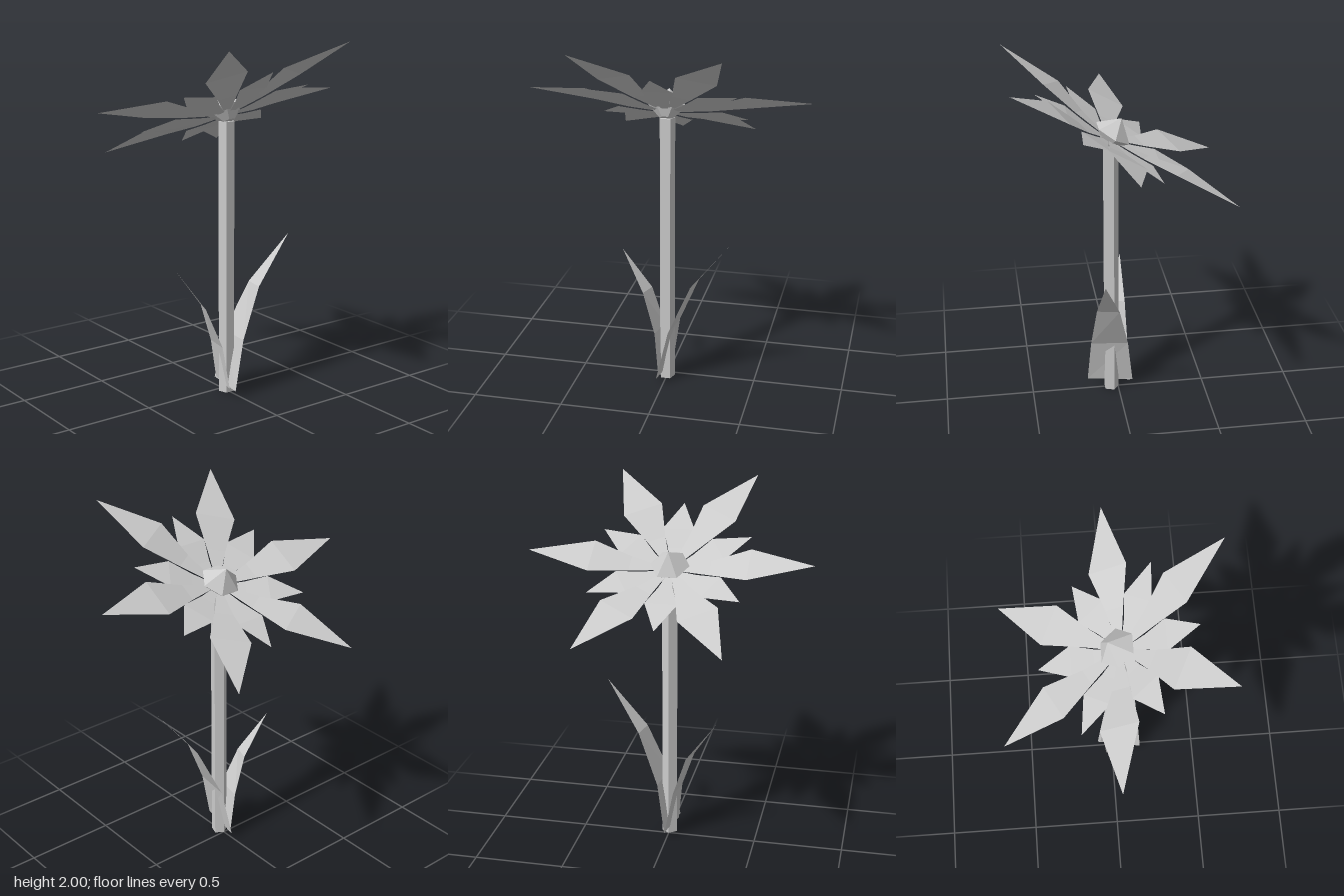
import * as THREE from 'three';

// Open strip through pairs of edge points
function strip(pairs) {
  const pos = [];
  for (let i = 0; i + 1 < pairs.length; i++) {
    const [a0, b0] = pairs[i], [a1, b1] = pairs[i + 1];
    pos.push(...a0, ...b0, ...a1, ...b0, ...b1, ...a1);
  }
  const geo = new THREE.BufferGeometry();
  geo.setAttribute('position', new THREE.Float32BufferAttribute(pos, 3));
  geo.computeVertexNormals();
  return geo;
}

// Petal along +x from [radius, height, half width] sections
const petal = (sections) =>
  strip(sections.map(([r, h, w]) => [[r, h, -w], [r, h, w]]));

export function createModel() {
  const grey = new THREE.MeshStandardMaterial({ color: 0xcccccc, flatShading: true, side: THREE.DoubleSide });
  grey.name = 'plain grey';
  const model = new THREE.Group();
  model.name = 'flower';

  const add = (parent, name, geo) => {
    const mesh = new THREE.Mesh(geo, grey);
    mesh.name = name;
    parent.add(mesh);
    return mesh;
  };

  // Five-sided stem with a corner at the back
  const stem = add(model, 'stem', new THREE.CylinderGeometry(0.045, 0.045, 1.55, 5, 1, false, Math.PI));
  stem.position.set(0, 0.775, 0.041);

  // Two bent leaves: back edge, front edge per section
  add(model, 'leftLeaf', strip([
    [[0.01, 0.04, -0.085], [-0.035, 0.04, 0.175]],
    [[0.057, 0.325, -0.05], [0.03, 0.325, 0.16]],
    [[0.178, 0.61, 0.015], [0.153, 0.61, 0.14]],
    [[0.378, 0.885, 0.12], [0.378, 0.885, 0.12]],
  ]));
  add(model, 'rightLeaf', strip([
    [[-0.035, 0.04, 0.12], [0.01, 0.04, -0.07]],
    [[-0.062, 0.28, 0.09], [-0.035, 0.28, -0.06]],
    [[-0.14, 0.505, 0.04], [-0.108, 0.505, -0.055]],
    [[-0.278, 0.73, -0.05], [-0.278, 0.73, -0.05]],
  ]));

  // Tilted flower head
  const head = new THREE.Group();
  head.name = 'flowerHead';
  head.position.y = 1.66;
  head.rotation.x = -Math.PI / 6;
  model.add(head);

  const large = petal([[0.05, -0.085, 0.015], [0.22, -0.062, 0.052], [0.43, -0.017, 0.1125], [0.78, 0, 0]]);
  const small = petal([[0.05, -0.09, 0.015], [0.15, -0.078, 0.04], [0.28, -0.06, 0.088], [0.476, -0.052, 0]]);
  for (let i = 0; i < 6; i++) {
    add(head, 'largePetal', large).rotation.y = i * Math.PI / 3;
    add(head, 'smallPetal', small).rotation.y = (i + 0.5) * Math.PI / 3;
  }

  // Six-sided pointed centre and the cup beneath it
  const centre = add(head, 'centre', new THREE.ConeGeometry(0.108, 0.095, 6, 1, false, Math.PI / 2));
  centre.position.y = -0.0075;
  const cup = add(head, 'cup', new THREE.CylinderGeometry(0.108, 0.035, 0.07, 6, 1, false, Math.PI / 2));
  cup.position.y = -0.09;

  return model;
}
